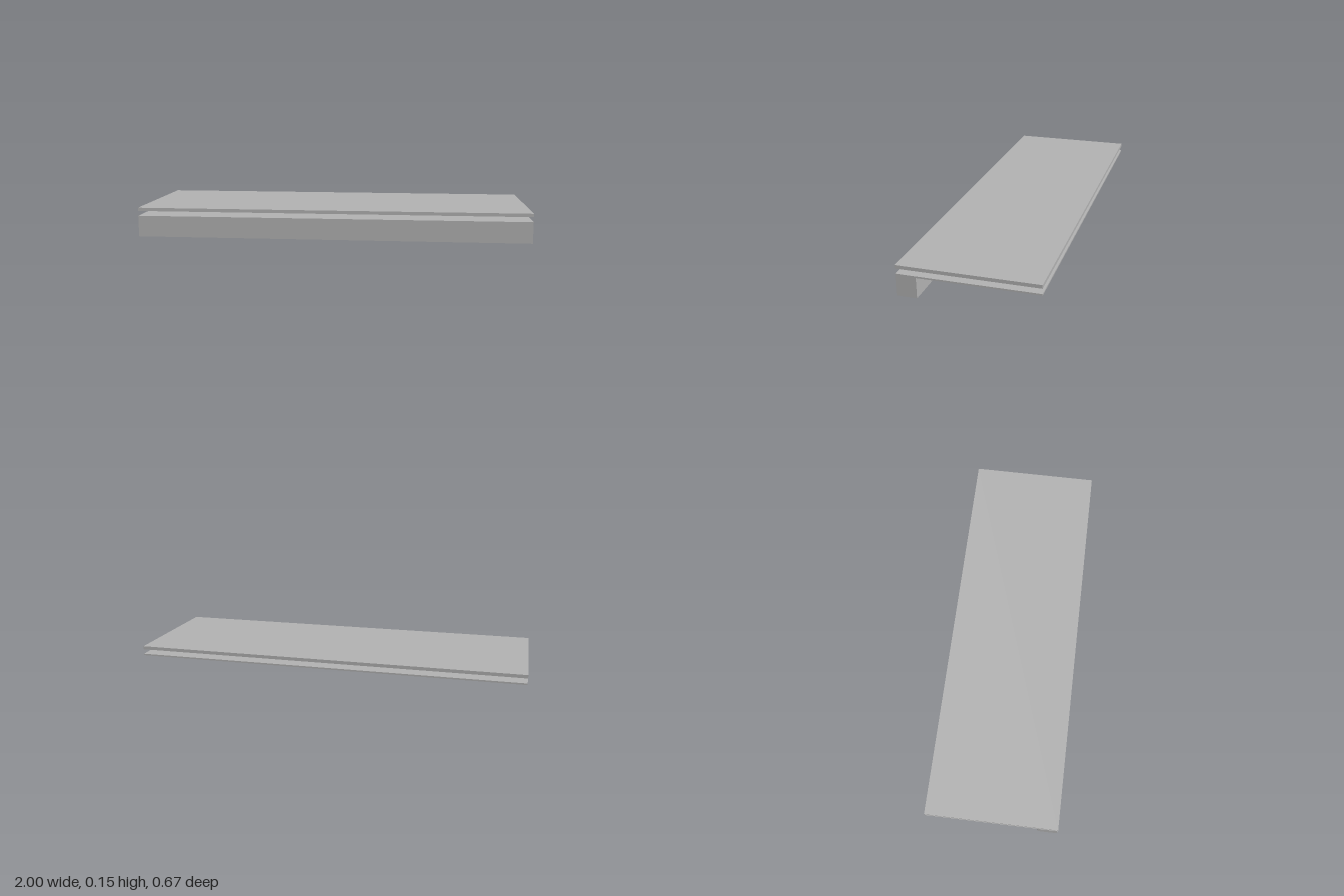
import * as THREE from 'three';

export function createModel() {
  const group = new THREE.Group();
  const grey = new THREE.MeshStandardMaterial({ color: 0xb2b2b2 });
  grey.name = 'plain grey';

  function add(name, geometry, y = 0) {
    const mesh = new THREE.Mesh(geometry, grey);
    mesh.name = name;
    mesh.position.y = y;
    group.add(mesh);
  }

  const halfDepth = 0.333;

  // Lower plate and front beam as one L-shaped section, given as (z, y)
  const section = new THREE.Shape([
    [-halfDepth, 0.1], [0.235, 0.1], [0.235, 0],
    [halfDepth, 0], [halfDepth, 0.108], [-halfDepth, 0.108],
  ].map(([z, y]) => new THREE.Vector2(-z, y)));
  const base = new THREE.ExtrudeGeometry(section, { depth: 2, bevelEnabled: false });
  base.translate(0, 0, -1);
  base.rotateY(Math.PI / 2); // shape x becomes -z, extrusion runs along x
  add('lowerPlateWithFrontBeam', base);

  // Inset spacer between the plates
  add('spacer', new THREE.BoxGeometry(1.667, 0.025, 0.333), 0.1205);

  // Upper plate
  add('upperPlate', new THREE.BoxGeometry(2, 0.017, 2 * halfDepth), 0.1415);

  return group;
}
